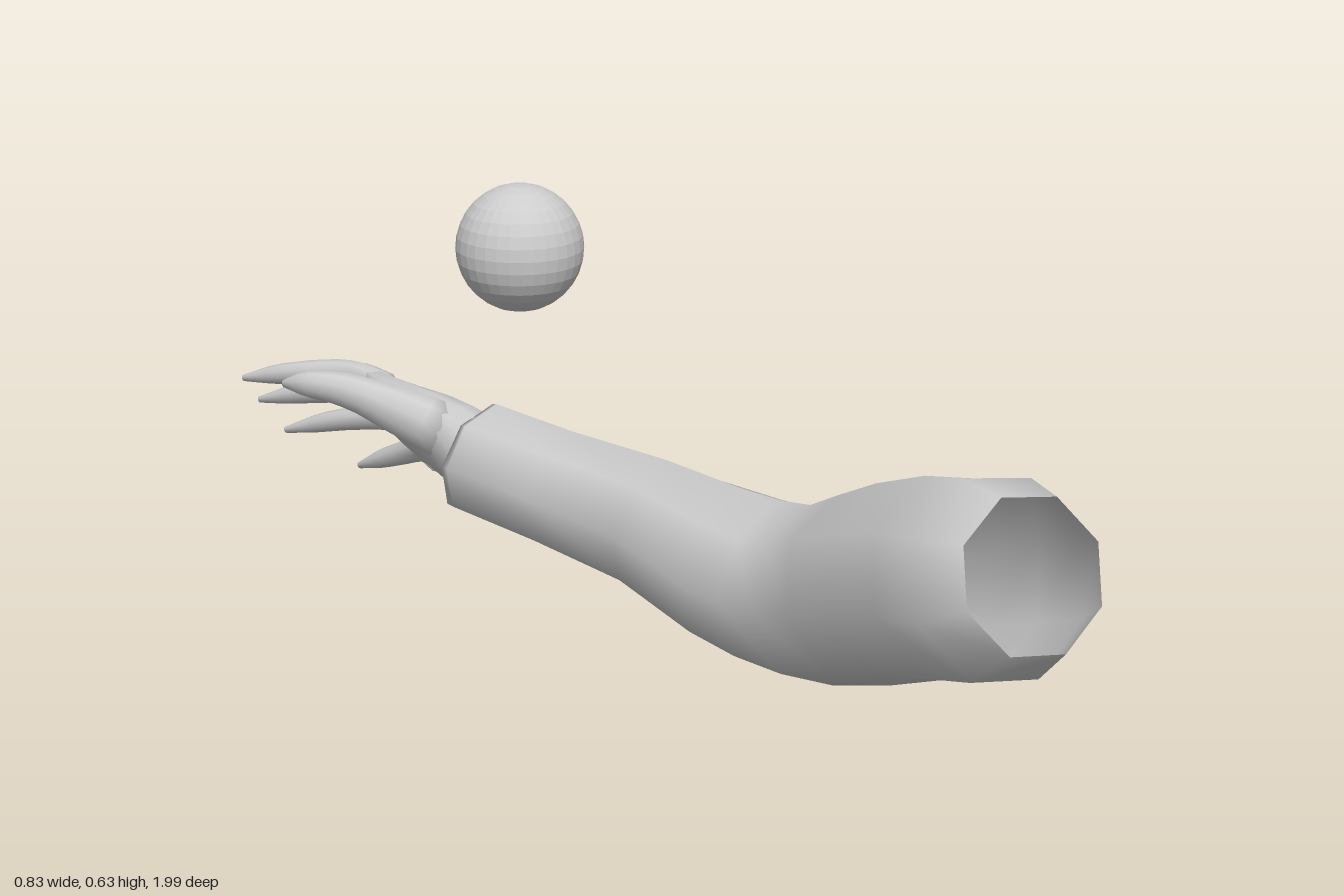
import * as THREE from 'three';

const grey = new THREE.MeshStandardMaterial({ color: 0xcccccc, side: THREE.DoubleSide });
grey.name = 'plain grey';

// Skins a row of elliptical sections: [x, y, z, halfWidth, halfHeight, turnInDegrees]
function loft(name, sections, sides, across, openStart = false) {
  const centres = sections.map(s => new THREE.Vector3(s[0], s[1], s[2]));
  const pos = [], index = [];
  sections.forEach((s, i) => {
    const before = centres[Math.max(i - 1, 0)];
    const after = centres[Math.min(i + 1, centres.length - 1)];
    const n = before.clone().sub(after).normalize();
    const right = across.clone().addScaledVector(n, -across.dot(n)).normalize();
    const up = n.clone().cross(right);
    for (let j = 0; j < sides; j++) {
      const a = (j / sides) * Math.PI * 2 + THREE.MathUtils.degToRad(s[5] || 0);
      const p = centres[i].clone()
        .addScaledVector(right, Math.cos(a) * s[3])
        .addScaledVector(up, Math.sin(a) * (s[4] ?? s[3]));
      pos.push(p.x, p.y, p.z);
    }
  });
  for (let i = 0; i < sections.length - 1; i++) {
    for (let j = 0; j < sides; j++) {
      const k = (j + 1) % sides;
      const a = i * sides + j, b = i * sides + k;
      const c = a + sides, d = b + sides;
      index.push(a, c, b, b, c, d);
    }
  }
  // End caps
  const cap = (ring, centre, last) => {
    const m = pos.length / 3;
    pos.push(centre.x, centre.y, centre.z);
    for (let j = 0; j < sides; j++) {
      const a = ring * sides + j, b = ring * sides + (j + 1) % sides;
      if (last) index.push(m, b, a); else index.push(m, a, b);
    }
  };
  if (!openStart) cap(0, centres[0], false);
  cap(sections.length - 1, centres[centres.length - 1], true);
  const geo = new THREE.BufferGeometry();
  geo.setAttribute('position', new THREE.Float32BufferAttribute(pos, 3));
  geo.setIndex(index);
  geo.computeVertexNormals();
  const mesh = new THREE.Mesh(geo, grey);
  mesh.name = name;
  return mesh;
}

// A digit: smooth curve through a few joints, rounded off at the tip
function digit(name, joints, radii) {
  const curve = new THREE.CatmullRomCurve3(joints.map(j => new THREE.Vector3(...j)));
  const steps = 12, sections = [];
  for (let i = 0; i <= steps; i++) {
    const t = i / steps, p = curve.getPoint(t);
    const f = t * (radii.length - 1), k = Math.min(Math.floor(f), radii.length - 2);
    const r = THREE.MathUtils.lerp(radii[k], radii[k + 1], f - k);
    sections.push([p.x, p.y, p.z, r, r * 0.9]);
  }
  return loft(name, sections, 10, new THREE.Vector3(-0.63, 0.78, 0));
}

export function createModel() {
  const model = new THREE.Group();
  model.name = 'armAndBall';

  // Sleeve: open bevelled shoulder end, bent elbow, tapering to the cuff
  model.add(loft('sleeve', [
    [0.255, 0.382, 0.94, 0.138, 0.132, 15],
    [0.25, 0.35, 0.86, 0.17, 0.172, 15],
    [0.245, 0.315, 0.75, 0.172, 0.175, 12],
    [0.235, 0.265, 0.62, 0.174, 0.172, 10],
    [0.222, 0.21, 0.5, 0.167, 0.167, 6],
    [0.205, 0.165, 0.39, 0.158, 0.16, 2],
    [0.175, 0.16, 0.29, 0.155, 0.153, 0],
    [0.14, 0.167, 0.2, 0.147, 0.146, -3],
    [0.085, 0.185, 0, 0.122, 0.129, -7],
    [-0.01, 0.205, -0.2, 0.113, 0.118, -9],
    [-0.09, 0.224, -0.375, 0.118, 0.114, -10],
    [-0.095, 0.225, -0.387, 0.116, 0.112, -10],
    [-0.096, 0.226, -0.389, 0.095, 0.09, -10],
  ], 8, new THREE.Vector3(1, 0, 0), true));

  // Palm, tilted with the thumb side up
  const hand = new THREE.Group();
  hand.name = 'hand';
  hand.add(loft('palm', [
    [-0.085, 0.225, -0.35, 0.1, 0.07],
    [-0.105, 0.232, -0.42, 0.118, 0.075],
    [-0.118, 0.238, -0.48, 0.13, 0.066],
    [-0.135, 0.24, -0.56, 0.138, 0.054],
    [-0.148, 0.243, -0.64, 0.138, 0.044],
    [-0.156, 0.243, -0.69, 0.128, 0.034],
    [-0.162, 0.243, -0.715, 0.1, 0.018],
  ], 14, new THREE.Vector3(-0.63, 0.78, 0)));

  // Fingers and thumb
  const fingerRadii = [0.032, 0.03, 0.027, 0.025, 0.021, 0.007];
  const fingers = {
    indexFinger: [[-0.2, 0.32, -0.62], [-0.24, 0.332, -0.7], [-0.325, 0.32, -0.79], [-0.405, 0.293, -0.89]],
    middleFinger: [[-0.17, 0.272, -0.63], [-0.2, 0.282, -0.72], [-0.275, 0.262, -0.83], [-0.355, 0.225, -0.945]],
    ringFinger: [[-0.135, 0.21, -0.63], [-0.15, 0.218, -0.72], [-0.215, 0.195, -0.83], [-0.3, 0.15, -0.95]],
    littleFinger: [[-0.095, 0.16, -0.61], [-0.095, 0.155, -0.69], [-0.12, 0.12, -0.78], [-0.167, 0.075, -0.875]],
  };
  for (const [name, joints] of Object.entries(fingers)) hand.add(digit(name, joints, fingerRadii));
  hand.add(digit('thumb',
    [[-0.16, 0.28, -0.43], [-0.24, 0.32, -0.485], [-0.315, 0.352, -0.535], [-0.37, 0.358, -0.585], [-0.408, 0.352, -0.63]],
    [0.06, 0.053, 0.04, 0.033, 0.027, 0.008]));
  model.add(hand);

  // Faceted floating ball
  const ballGeo = new THREE.SphereGeometry(0.135, 32, 16).toNonIndexed();
  ballGeo.computeVertexNormals();
  const ball = new THREE.Mesh(ballGeo, grey);
  ball.name = 'ball';
  ball.position.set(0.2, 0.505, -0.865);
  model.add(ball);

  return model;
}
